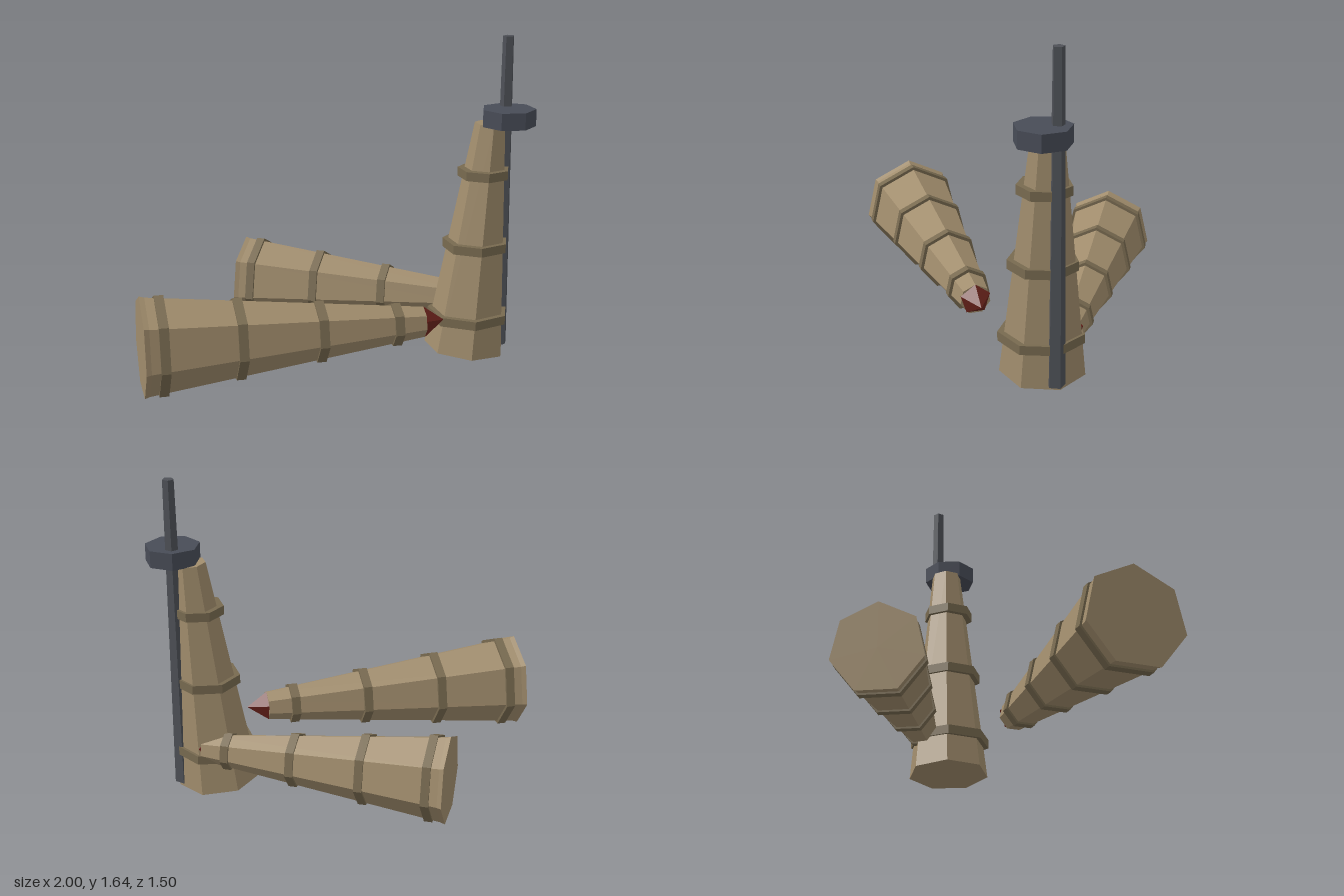
import * as THREE from 'three';

const mat = (color) => new THREE.MeshStandardMaterial({ color, flatShading: true });

export function createModel() {
  const model = new THREE.Group();
  const tan = mat(0xa08c6c), band = mat(0x786a50), iron = mat(0x484c57), rodIron = mat(0x4e5157), red = mat(0x6a231b);

  // Faceted drum or cone centred at (x, y, z)
  function drum(parent, name, material, rTop, rBottom, height, sides, x, y, z, turn = 0) {
    const mesh = new THREE.Mesh(new THREE.CylinderGeometry(rTop, rBottom, height, sides), material);
    mesh.name = name;
    mesh.position.set(x, y, z);
    mesh.rotation.y = turn;
    parent.add(mesh);
    return mesh;
  }

  // Horn lying on its side: local y runs from the wide end to the tip
  function lyingHorn(name, x, y, z, angle, scale) {
    const horn = new THREE.Group();
    horn.name = name;
    const dir = new THREE.Vector3(Math.cos(angle), 0, Math.sin(angle));
    const up = new THREE.Vector3(0, 1, 0);
    const side = new THREE.Vector3().crossVectors(dir, up);
    horn.quaternion.setFromRotationMatrix(new THREE.Matrix4().makeBasis(side, dir, up));
    horn.position.set(x, y, z);
    horn.scale.setScalar(scale);

    const length = 1.396, wide = 0.245, narrow = 0.077;
    drum(horn, 'hornBody', tan, narrow, wide, length, 7, 0, length / 2, 0);
    drum(horn, 'hornRim', tan, 0.242, 0.25, 0.025, 7, 0, 0.0125, 0);
    for (const s of [0.092, 0.465, 0.865, 1.252]) {
      const r = wide + (narrow - wide) * s / length + 0.014;
      drum(horn, 'hornBand', band, r, r, 0.046, 7, 0, s, 0);
    }
    drum(horn, 'hornTip', red, 0, 0.078, 0.106, 5, 0, length + 0.053, 0);
    model.add(horn);
  }
  lyingHorn('frontHorn', -0.965, 0.272, 0.505, -0.15, 1);
  lyingHorn('backHorn', -0.435, 0.245, -0.545, 0.358, 0.905);

  // Upright horn, leaning slightly, with level bands
  const upright = new THREE.Group();
  upright.name = 'uprightHorn';
  const body = drum(upright, 'uprightBody', tan, 0.08, 0.21, 1.19, 7, 0.732, 0.612, 0.01);
  body.rotation.z = -0.0865;
  for (const [x, y, r] of [[0.694, 0.207, 0.211], [0.723, 0.582, 0.17], [0.755, 0.957, 0.133]])
    drum(upright, 'uprightBand', band, r, r, 0.046, 7, x, y, 0.018);

  // Iron cap and the rod running up behind it
  drum(upright, 'cap', iron, 0.137, 0.137, 0.086, 7, 0.864, 1.245, 0.045, Math.PI);
  drum(upright, 'rod', rodIron, 0.029, 0.044, 1.62, 5, 0.866, 0.83, -0.021, Math.PI);
  model.add(upright);
  return model;
}
